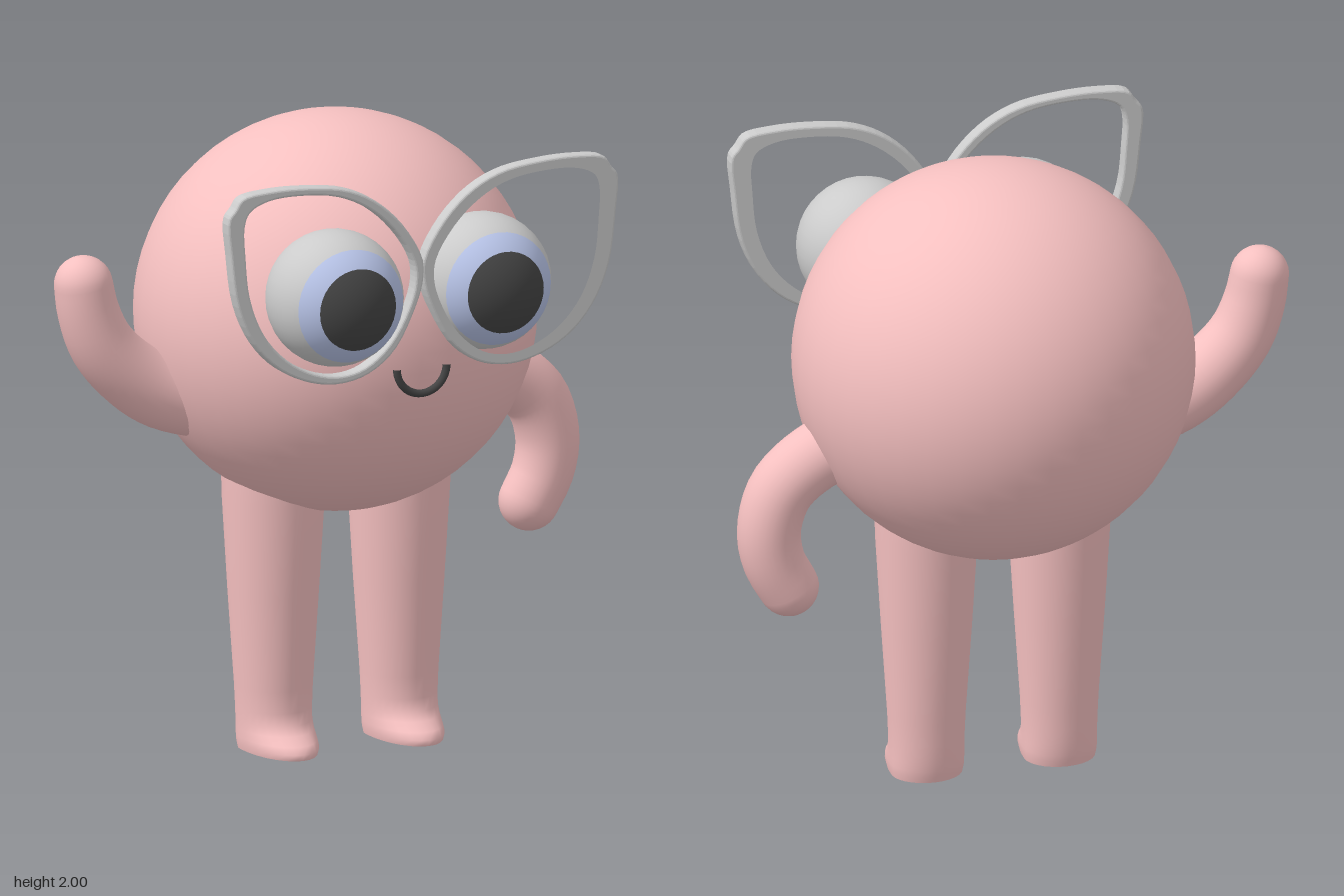
import * as THREE from 'three';

const mat = (color) => new THREE.MeshStandardMaterial({ color });
const PINK = mat(0xf5c0c0), GREY = mat(0xcccccc), IRIS = mat(0xb8c4e8), DARK = mat(0x444444);
const MID = 0.056; // x of the body's mirror plane
const DEPTH = -0.06; // z of body, arms and legs

function add(parent, name, geometry, material, x = 0, y = 0, z = 0) {
  const mesh = new THREE.Mesh(geometry, material);
  mesh.name = name;
  mesh.position.set(x, y, z);
  parent.add(mesh);
  return mesh;
}

// Skin over a list of closed rings, each with the same number of points
function loft(rings) {
  const n = rings[0].length, index = [];
  for (let i = 0; i < rings.length - 1; i++) {
    for (let j = 0; j < n; j++) {
      const a = i * n + j, b = i * n + (j + 1) % n;
      index.push(a, b, b + n, a, b + n, a + n);
    }
  }
  const geometry = new THREE.BufferGeometry().setFromPoints(rings.flat());
  geometry.setIndex(index);
  geometry.computeVertexNormals();
  return geometry;
}

const ring = (fn, n = 28) => Array.from({ length: n }, (_, j) => fn((j / n) * Math.PI * 2));

// Tapered arm along a flat path from inside the body to a rounded hand
function armGeometry(path, r0, r1) {
  const curve = new THREE.CatmullRomCurve3(path.map(([x, y]) => new THREE.Vector3(x, y, DEPTH)));
  const rings = [];
  const section = (t, r, push) => {
    const c = curve.getPointAt(t), d = curve.getTangentAt(t);
    c.addScaledVector(d, push);
    rings.push(ring((a) => new THREE.Vector3(
      c.x - d.y * r * Math.cos(a), c.y + d.x * r * Math.cos(a), c.z + r * Math.sin(a))));
  };
  for (let i = 0; i <= 24; i++) section(i / 24, r0 + (r1 - r0) * (i / 24), 0);
  for (let i = 1; i <= 8; i++) {
    const a = (i / 8) * Math.PI / 2;
    section(1, r1 * Math.max(Math.cos(a), 0.001), r1 * Math.sin(a));
  }
  return loft(rings);
}

// Leg sections: height, radius, back reach, front reach (toe)
function legGeometry() {
  const sections = [
    [0, 0.001, 0.001, 0.001], [0, 0.113, 0.095, 0.22], [0, 0.113, 0.095, 0.22],
    [0.02, 0.117, 0.1, 0.228], [0.04, 0.118, 0.104, 0.205], [0.065, 0.118, 0.107, 0.165],
    [0.09, 0.118, 0.11, 0.138], [0.13, 0.119, 0.113, 0.13], [0.2, 0.122, 0.118, 0.13],
    [0.5, 0.142, 0.14, 0.145], [0.8, 0.16, 0.156, 0.163], [1.0, 0.165, 0.16, 0.165],
  ];
  return loft(sections.map(([y, r, back, front]) => ring((a) => {
    const c = Math.cos(a);
    return new THREE.Vector3(r * Math.sin(a), y, c * (c > 0 ? front : back));
  })));
}

// Upswept spectacle frame; points are offsets from the bridge
function frameGeometry(side) {
  const outer = [[0, 1.68], [0.065, 1.795], [0.16, 1.885], [0.265, 1.935], [0.4, 1.955], [0.53, 1.957],
    [0.62, 1.943], [0.645, 1.91], [0.667, 1.88], [0.66, 1.76], [0.637, 1.6], [0.585, 1.48],
    [0.505, 1.39], [0.4, 1.333], [0.295, 1.313], [0.19, 1.333], [0.098, 1.4], [0.03, 1.52], [0, 1.61]];
  const inner = [[0.034, 1.68], [0.1, 1.785], [0.19, 1.865], [0.29, 1.912], [0.42, 1.93], [0.53, 1.924],
    [0.592, 1.895], [0.61, 1.85], [0.607, 1.75], [0.592, 1.62], [0.545, 1.5], [0.47, 1.413],
    [0.375, 1.358], [0.285, 1.34], [0.2, 1.358], [0.115, 1.425], [0.052, 1.53], [0.028, 1.61]];
  const trace = (pts) => new THREE.CatmullRomCurve3(
    pts.map(([x, y]) => new THREE.Vector3(MID + side * x, y, 0)), true)
    .getPoints(72).slice(0, -1).map((p) => new THREE.Vector2(p.x, p.y));
  const shape = new THREE.Shape(trace(outer));
  shape.holes.push(new THREE.Path(trace(inner)));
  return new THREE.ExtrudeGeometry(shape, {
    depth: 0.03, bevelEnabled: true, bevelThickness: 0.01, bevelSize: 0.008, bevelOffset: -0.008, bevelSegments: 3,
  });
}

// Band of a sphere around the +z axis
const eyeBand = (from, to) =>
  new THREE.SphereGeometry(0.215, 36, 16, 0, Math.PI * 2, from, to - from).rotateX(Math.PI / 2);

export function createModel() {
  const model = new THREE.Group();
  model.name = 'roundCreature';

  add(model, 'body', new THREE.SphereGeometry(0.627, 40, 32), PINK, MID, 1.372, DEPTH);

  for (const [label, side] of [['left', 1], ['right', -1]]) {
    // Eye with iris and pupil
    const eye = new THREE.Group();
    eye.name = label + 'Eye';
    eye.position.set(MID + side * 0.253, 1.562, 0.473);
    add(eye, 'eyeball', eyeBand(0.99, Math.PI), GREY);
    add(eye, 'iris', eyeBand(0.65, 0.99), IRIS);
    add(eye, 'pupil', eyeBand(0, 0.65), DARK);
    model.add(eye);

    add(model, label + 'GlassesFrame', frameGeometry(side), GREY, 0, 0, 0.545);
    add(model, label + 'Leg', legGeometry(), PINK, MID + side * 0.215, 0, -0.055);
  }

  // Raised right arm and hanging left arm
  add(model, 'rightArm', armGeometry([[-0.3, 1.12], [-0.53, 1.17], [-0.65, 1.245], [-0.745, 1.35],
    [-0.79, 1.46], [-0.806, 1.545]], 0.13, 0.092), PINK);
  add(model, 'leftArm', armGeometry([[0.35, 1.17], [0.53, 1.15], [0.656, 1.095], [0.746, 1.01],
    [0.783, 0.884], [0.767, 0.775], [0.72, 0.685]], 0.113, 0.095), PINK);

  // Smile
  const smile = new THREE.TorusGeometry(0.085, 0.0125, 10, 28, Math.PI).rotateZ(Math.PI);
  add(model, 'smile', smile, DARK, MID, 1.335, 0.57);

  return model;
}
